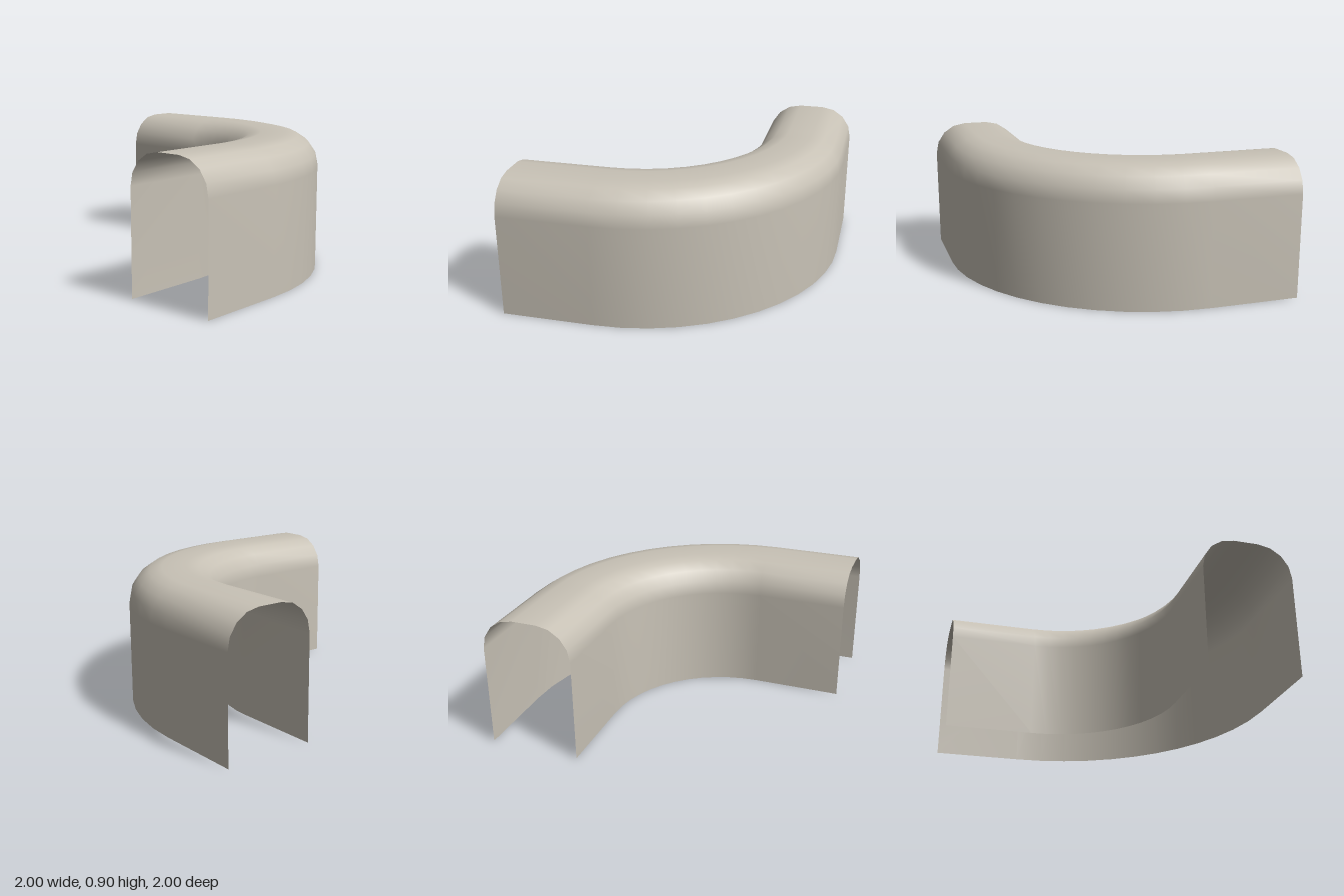
import * as THREE from 'three';

const WIDTH = 0.605, HEIGHT = 0.905, ROUND = 0.22; // cross-section of the cover
const BEND = 1.4, STRAIGHT = 0.6;                   // outer bend radius, straight run length
const BEND_STEPS = 12, ROUND_STEPS = 4;

// Cross-section from the inner foot, over the top, to the outer foot: [outward offset, height]
function crossSection() {
  const inner = [[-WIDTH, 0]], outer = [[0, 0]];
  for (let k = 0; k <= ROUND_STEPS; k++) {
    const a = (k / ROUND_STEPS) * Math.PI / 2;
    const inset = ROUND * (1 - Math.cos(a));
    const y = HEIGHT - ROUND + ROUND * Math.sin(a);
    inner.push([-WIDTH + inset, y]);
    outer.push([-inset, y]);
  }
  return [...inner, ...outer.reverse()];
}

// Stations along the outer edge: straight, quarter bend, straight
function stations() {
  const c = 1 - BEND; // bend centre is (c, -c)
  const list = [{ x: c - STRAIGHT, z: -1, nx: 0, nz: -1 }];
  for (let k = 0; k <= BEND_STEPS; k++) {
    const a = (k / BEND_STEPS) * Math.PI / 2;
    const nx = Math.sin(a), nz = -Math.cos(a);
    list.push({ x: c + BEND * nx, z: -c + BEND * nz, nx, nz });
  }
  list.push({ x: 1, z: -c + STRAIGHT, nx: 1, nz: 0 });
  return list;
}

// Open shell lofted through the cross-sections
function sweep(path, profile) {
  const positions = [], index = [], n = profile.length;
  path.forEach((p, i) => {
    for (const [d, y] of profile) positions.push(p.x + p.nx * d, y, p.z + p.nz * d);
    if (i === path.length - 1) return;
    for (let j = 0; j < n - 1; j++) {
      const a = i * n + j, b = a + n;
      index.push(a, b, a + 1, b, b + 1, a + 1);
    }
  });
  const geometry = new THREE.BufferGeometry();
  geometry.setAttribute('position', new THREE.Float32BufferAttribute(positions, 3));
  geometry.setIndex(index);
  geometry.computeVertexNormals();
  return geometry;
}

export function createModel() {
  const group = new THREE.Group();
  group.name = 'curvedCover';
  const material = new THREE.MeshStandardMaterial({ color: 0xc8c2b6, side: THREE.DoubleSide });
  material.name = 'warm grey';
  const shell = new THREE.Mesh(sweep(stations(), crossSection()), material);
  shell.name = 'bentShell';
  group.add(shell);
  return group;
}
